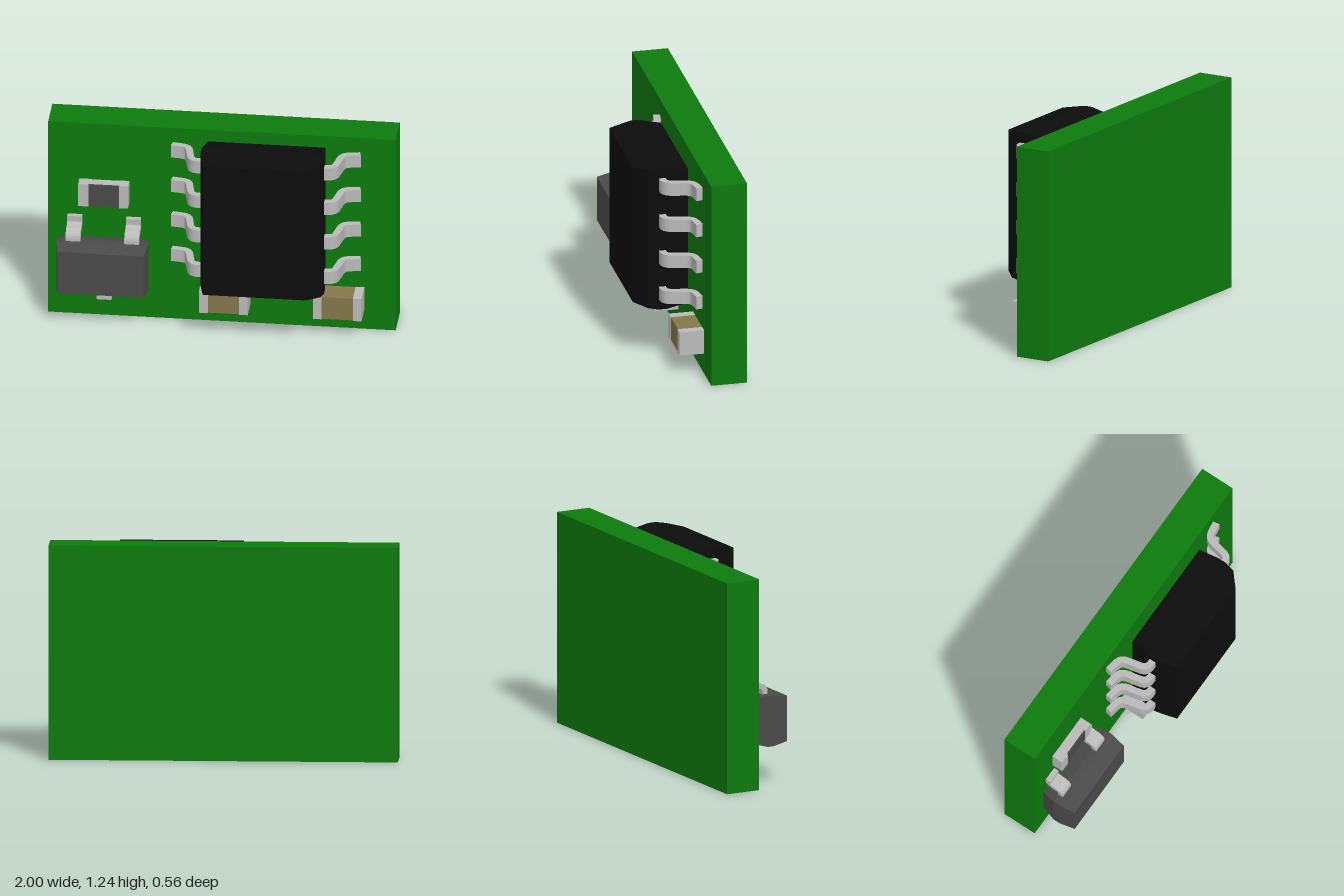
import * as THREE from 'three';

const mat = (name, color) => new THREE.MeshStandardMaterial({ name, color });

export function createModel() {
  const green = mat('board green', 0x0e7a0e);
  const tin = mat('tin', 0xbababa);
  const black = mat('chip black', 0x0c0c0c);
  const grey = mat('package grey', 0x4a4a4a);
  const tan = mat('ceramic tan', 0x86774b);

  const model = new THREE.Group();
  model.name = 'circuitBoard';
  const add = (parent, name, geometry, material) => {
    const mesh = new THREE.Mesh(geometry, material);
    mesh.name = name;
    parent.add(mesh);
    return mesh;
  };
  const group = (name) => {
    const g = new THREE.Group();
    g.name = name;
    model.add(g);
    return g;
  };
  // Box given by its limits
  const box = (parent, name, material, x0, x1, y0, y1, z0, z1) =>
    add(parent, name, new THREE.BoxGeometry(x1 - x0, y1 - y0, z1 - z0)
      .translate((x0 + x1) / 2, (y0 + y1) / 2, (z0 + z1) / 2), material);

  // Moulded body from rectangular sections [z, x0, x1, y0, y1], back to front
  const moulded = (sections) => {
    const pos = [], index = [];
    for (const [z, x0, x1, y0, y1] of sections) pos.push(x0, y0, z, x1, y0, z, x1, y1, z, x0, y1, z);
    for (let s = 0; s < sections.length - 1; s++) {
      for (let i = 0; i < 4; i++) {
        const a = s * 4 + i, b = s * 4 + (i + 1) % 4;
        index.push(a, b, b + 4, a, b + 4, a + 4);
      }
    }
    const f = (sections.length - 1) * 4;
    index.push(0, 2, 1, 0, 3, 2, f, f + 1, f + 2, f, f + 2, f + 3);
    const g = new THREE.BufferGeometry();
    g.setAttribute('position', new THREE.Float32BufferAttribute(pos, 3));
    g.setIndex(index);
    const flat = g.toNonIndexed();
    flat.computeVertexNormals();
    return flat;
  };

  // Bent strip running along +x, bending in z, with its width across y
  const bentLead = (points, thickness, width) => {
    const curve = new THREE.CatmullRomCurve3(
      points.map(([x, z]) => new THREE.Vector3(x, z, 0)), false, 'centripetal');
    const n = 24, left = [], right = [];
    for (let i = 0; i <= n; i++) {
      const p = curve.getPoint(i / n), t = curve.getTangent(i / n);
      const ox = -t.y * thickness / 2, oy = t.x * thickness / 2;
      left.push(new THREE.Vector2(p.x + ox, p.y + oy));
      right.unshift(new THREE.Vector2(p.x - ox, p.y - oy));
    }
    return new THREE.ExtrudeGeometry(new THREE.Shape([...left, ...right]),
      { depth: width, bevelEnabled: false }).translate(0, 0, -width / 2).rotateX(Math.PI / 2);
  };

  // Board
  box(model, 'board', green, -1, 1, 0, 1.24, -0.28, -0.07);

  // Eight-lead chip, with a bevel along its right front edge
  const chip = group('chip');
  add(chip, 'chipBody', moulded([
    [-0.025, -0.075, 0.6, 0.355, 1.19],
    [0.1, -0.097, 0.612, 0.333, 1.212],
    [0.15, -0.097, 0.612, 0.333, 1.212],
    [0.21, -0.085, 0.6, 0.343, 1.202],
    [0.28, -0.07, 0.52, 0.355, 1.19],
  ]), black);
  const chipLead = bentLead([[0.32, 0.126], [0.385, 0.126], [0.41, 0.11], [0.425, 0.06],
    [0.44, -0.005], [0.46, -0.03], [0.543, -0.047]], 0.04, 0.078);
  for (let i = 0; i < 4; i++) {
    for (const side of [1, -1]) {
      const lead = add(chip, side > 0 ? 'chipLeadLeft' : 'chipLeadRight', chipLead, tin);
      lead.position.set(0.2575, 0.436 + i * 0.225, 0);
      lead.rotation.z = side > 0 ? 0 : Math.PI;
    }
  }

  // Three-lead transistor
  const transistor = group('transistor');
  add(transistor, 'transistorBody', moulded([
    [-0.068, -0.915, -0.435, 0.255, 0.505],
    [0.02, -0.938, -0.412, 0.23, 0.53],
    [0.06, -0.938, -0.412, 0.23, 0.53],
    [0.155, -0.922, -0.426, 0.246, 0.514],
  ]), grey);
  const smallLead = bentLead([[0.12, 0.03], [0.175, 0.03], [0.195, 0.01], [0.203, -0.03],
    [0.222, -0.053], [0.266, -0.054]], 0.032, 0.085);
  for (const [x, turn] of [[-0.845, 1], [-0.507, 1], [-0.675, -1]]) {
    const lead = add(transistor, 'transistorLead', smallLead, tin);
    lead.position.set(x, 0.381, 0);
    lead.rotation.z = turn * Math.PI / 2;
  }

  // Resistor: pale core, dark front coating, tinned ends
  const resistor = group('resistor');
  box(resistor, 'resistorCore', tin, -0.76, -0.585, 0.737, 0.877, -0.07, -0.012);
  box(resistor, 'resistorCoating', grey, -0.76, -0.585, 0.737, 0.877, -0.012, -0.004);
  box(resistor, 'resistorEnd', tin, -0.82, -0.76, 0.735, 0.879, -0.07, -0.002);
  box(resistor, 'resistorEnd', tin, -0.585, -0.533, 0.735, 0.879, -0.07, -0.002);

  // Capacitors
  for (const x of [0.025, 0.68]) {
    const capacitor = group('capacitor');
    box(capacitor, 'capacitorBody', tan, x - 0.09, x + 0.09, 0.127, 0.268, -0.07, 0.072);
    for (const s of [-1, 1]) {
      const a = x + s * 0.09, b = x + s * 0.14;
      box(capacitor, 'capacitorEnd', tin, Math.min(a, b), Math.max(a, b), 0.125, 0.27, -0.07, 0.075);
    }
  }
  return model;
}
